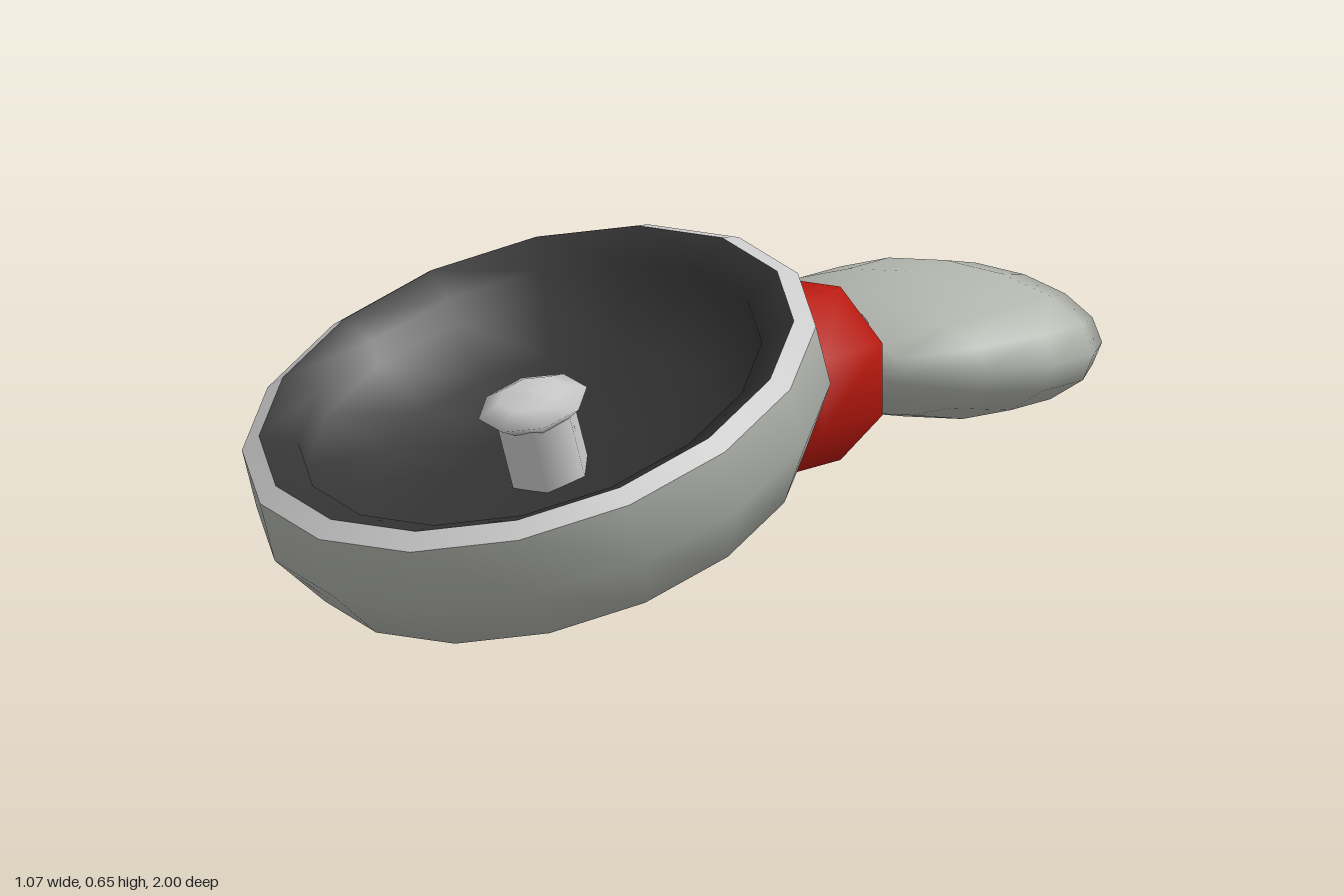
import * as THREE from 'three';

const material = (color) => new THREE.MeshStandardMaterial({ color });
const grey = material(0xcccccc);
const shellGrey = material(0xb2b5ae);
const steel = material(0x858585);
const dark = material(0x333333);
const red = material(0xb8180e);

// Faceted, smooth-shaded turned part: profile is [radius, height] pairs
function turned(name, profile, sides, mat, flatFront = true) {
  const points = profile.map(([r, h]) => new THREE.Vector2(r, h));
  const geometry = new THREE.LatheGeometry(points, sides, flatFront ? Math.PI / sides : 0);
  const mesh = new THREE.Mesh(geometry, mat);
  mesh.name = name;
  return mesh;
}

// Same, turned around the z axis instead of y
function turnedAlongZ(...args) {
  const mesh = turned(...args);
  mesh.geometry.rotateX(Math.PI / 2);
  return mesh;
}

export function createModel() {
  const model = new THREE.Group();
  model.name = 'dishAssembly';

  // Tilted dish, slightly longer than wide
  const dish = new THREE.Group();
  dish.name = 'dish';
  dish.position.set(0, -0.101, 0.25);
  dish.rotation.x = THREE.MathUtils.degToRad(22);
  const bowl = new THREE.Group();
  bowl.name = 'bowl';
  bowl.scale.z = 1.085;
  bowl.add(
    turned('bowlShell', [[0, 0.23], [0.268, 0.234], [0.472, 0.309], [0.545, 0.435], [0.545, 0.563]], 16, shellGrey),
    turned('rim', [[0.545, 0.563], [0.508, 0.585]], 16, grey),
    // Narrow sloping lip, then a drop into the hollow
    turned('bowlLining',
      [[0.508, 0.585], [0.44, 0.553], [0.438, 0.5], [0.33, 0.425], [0.17, 0.383], [0, 0.372]], 16, dark)
  );
  dish.add(bowl);

  // Central post with a mushroom head
  dish.add(
    turned('post', [[0.081, 0.35], [0.081, 0.52]], 6, grey),
    turned('postHead', [[0, 0.495], [0.075, 0.503], [0.108, 0.53], [0.065, 0.55], [0, 0.555]], 8, grey, false)
  );
  model.add(dish);

  // Rod running from the dish through the block into the rear pad
  const rod = turnedAlongZ('rod', [[0, -0.62], [0.085, -0.58], [0.085, 0.03], [0, 0.03]], 8, steel);
  rod.position.y = 0.345;
  rod.rotation.x = -0.045;
  model.add(rod);

  // Octagonal block with chamfered ends
  const block = turnedAlongZ('block',
    [[0, -0.52], [0.125, -0.52], [0.182, -0.46], [0.182, -0.27], [0.125, -0.21], [0, -0.21]], 8, red);
  block.position.y = 0.307;
  model.add(block);

  // Flattened rounded pad, cut flat at the back
  const pad = turnedAlongZ('rearPad',
    [[0, -1], [0.295, -1], [0.348, -0.9], [0.348, -0.77], [0.28, -0.64], [0.15, -0.545], [0.07, -0.53], [0, -0.53]],
    16, shellGrey, false);
  pad.scale.y = 0.405;
  pad.position.y = 0.305;
  model.add(pad);

  return model;
}
